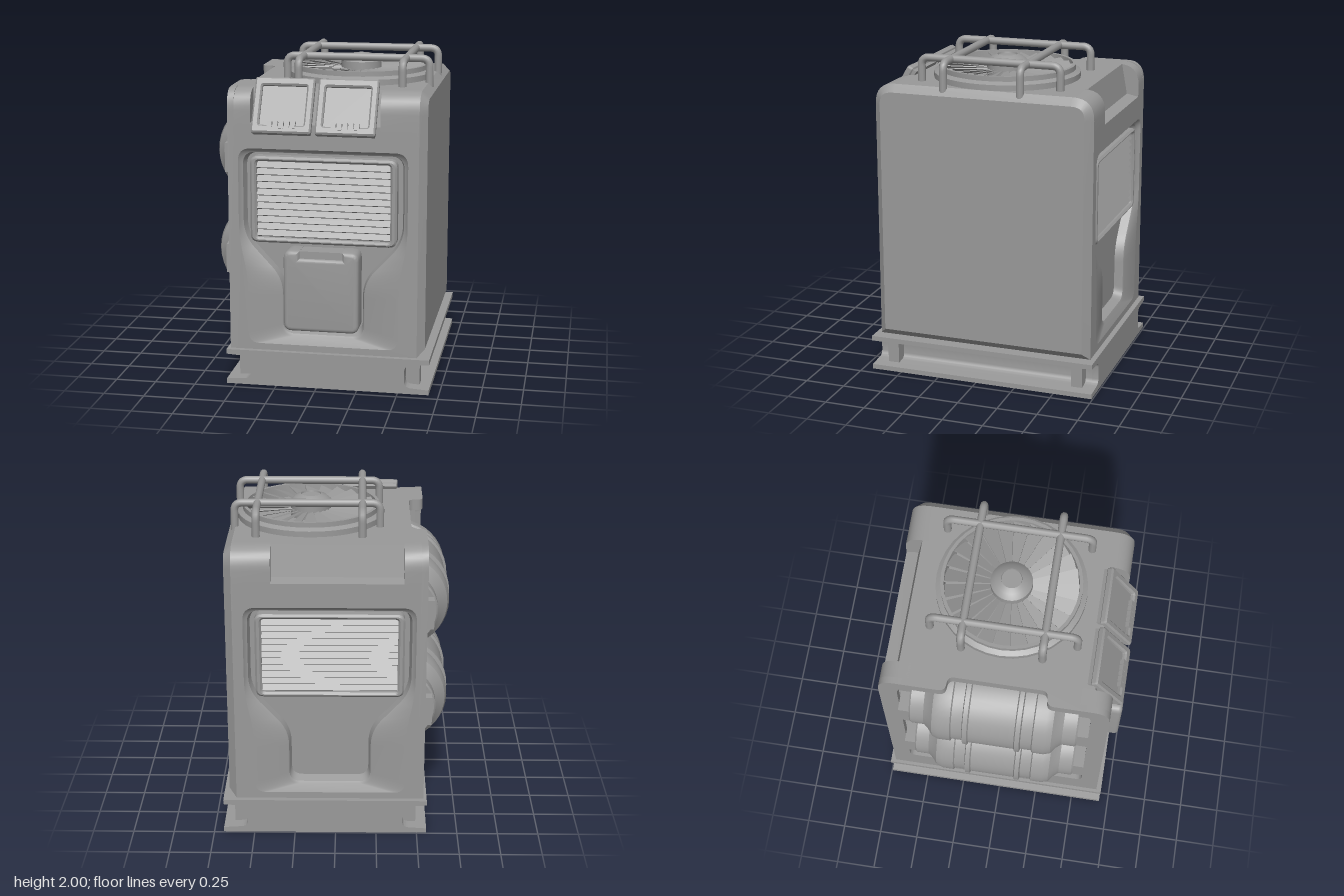
import * as THREE from 'three';
import { toCreasedNormals } from 'three/addons/utils/BufferGeometryUtils.js';

const grey = new THREE.MeshStandardMaterial({ color: 0x999999 });
const thinGrey = new THREE.MeshStandardMaterial({ color: 0x999999, side: THREE.DoubleSide });

function add(parent, name, geo, x = 0, y = 0, z = 0, material = grey) {
  const mesh = new THREE.Mesh(geo, material);
  mesh.name = name;
  mesh.position.set(x, y, z);
  parent.add(mesh);
  return mesh;
}
const box = (w, h, d) => new THREE.BoxGeometry(w, h, d);

// Polygon of [x, y, radius] corners, rounded where a radius is given
function rounded(corners, Type = THREE.Shape) {
  const path = new Type();
  const n = corners.length;
  corners.forEach(([x, y, r = 0], i) => {
    const p = new THREE.Vector2(x, y);
    const toward = ([a, b]) => {
      const v = new THREE.Vector2(a, b).sub(p);
      const len = v.length();
      return v.setLength(Math.min(r, len * 0.72)).add(p);
    };
    const a = toward(corners[(i + n - 1) % n]), b = toward(corners[(i + 1) % n]);
    if (i === 0) path.moveTo(a.x, a.y); else path.lineTo(a.x, a.y);
    if (r > 0) path.quadraticCurveTo(x, y, b.x, b.y);
  });
  path.closePath();
  return path;
}
const rect = (w, h, r, Type) => rounded(
  [[-w / 2, -h / 2, r], [w / 2, -h / 2, r], [w / 2, h / 2, r], [-w / 2, h / 2, r]], Type);

function extrude(shape, depth, bevel = 0, bevelSegments = 1) {
  const geo = new THREE.ExtrudeGeometry(shape, {
    depth, curveSegments: 8, bevelEnabled: bevel > 0, bevelSize: bevel,
    bevelThickness: bevel, bevelOffset: -bevel, bevelSegments,
  });
  return toCreasedNormals(geo, 0.5);
}
// Side profile of [z, y, radius] corners, swept along x
const sweepX = (corners, depth, bevel) =>
  extrude(rounded(corners.map(([z, y, r]) => [-z, y, r])), depth, bevel).rotateY(Math.PI / 2);

// Wide-top, narrow-bottom outline of the face recess
function recessOutline(cx, wTop, wLow, top, low, Type) {
  const right = [[wLow, low, 0.07], [wLow, 0.67, 0.1], [wTop, 0.93, 0.1], [wTop, top, 0.08]];
  const left = right.map(([x, y, r]) => [-x, y, r]).reverse();
  return rounded([...right, ...left].map(([x, y, r]) => [x + cx, y, r]), Type);
}

// Skin joining outlines of equal point count, outermost first
function loft(loops) {
  const pos = [];
  for (let k = 0; k + 1 < loops.length; k++) {
    const [a, b] = [loops[k], loops[k + 1]], n = a.length;
    for (let i = 0; i < n; i++) {
      const j = (i + 1) % n;
      for (const v of [a[i], a[j], b[i], a[j], b[j], b[i]]) pos.push(...v);
    }
  }
  const geo = new THREE.BufferGeometry();
  geo.setAttribute('position', new THREE.Float32BufferAttribute(pos, 3));
  geo.computeVertexNormals();
  return toCreasedNormals(geo, 0.6);
}

const D = 0.685; // half depth of the body

// One end face of the body: s = 1 front, s = -1 back
function endFace(s) {
  const g = new THREE.Group();
  g.name = s > 0 ? 'frontFace' : 'backFace';
  if (s < 0) g.rotation.y = Math.PI;
  const cx = 0.035 * s;
  const specs = [[0.512, 0.46, 1.475, 0.26, 0], [0.498, 0.258, 1.46, 0.312, -0.02],
    [0.488, 0.248, 1.45, 0.325, -0.026], [0.475, 0.235, 1.44, 0.345, -0.08]];
  const panel = rounded([[-0.5, 0.22], [0.61, 0.22], [0.61, 1.6], [-0.5, 1.6]].map(([x, y]) => [x * s, y]));
  panel.holes.push(recessOutline(cx, ...specs[0].slice(0, 4), THREE.Path));
  add(g, 'facePanel', extrude(panel, 0.05), 0, 0, D - 0.05);
  const loops = specs.map(([a, b, c, d, z]) => {
    const pts = recessOutline(cx, a, b, c, d).getPoints(8);
    if (pts[0].distanceTo(pts[pts.length - 1]) < 1e-6) pts.pop();
    return pts.map(p => [p.x, p.y, D + z]);
  });
  add(g, 'recessWall', loft(loops), 0, 0, 0, thinGrey);
  add(g, 'recessFloor', extrude(recessOutline(cx, ...specs[3].slice(0, 4)), 0.02), 0, 0, D - 0.1);

  // Louvred vent
  const frame = rect(0.89, 0.53, 0.05);
  frame.holes.push(rect(0.81, 0.47, 0.02, THREE.Path));
  add(g, 'ventFrame', extrude(frame, 0.055, 0.012), cx, 1.16, D - 0.08);
  for (let i = 0; i < 11; i++) {
    add(g, 'ventSlat', box(0.82, 0.042, 0.012), cx, 0.95 + i * 0.042, D - 0.045).rotation.x = -0.6;
  }

  // Rounded shoulder with a stepped pocket in its middle
  const full = [[0.5, 1.6], [D, 1.6], [D, 1.83, 0.13], [0.5, 1.83]];
  const cut = [[0.5, 1.6], [D, 1.6], [D, 1.625], [0.61, 1.64], [0.575, 1.83], [0.5, 1.83]];
  for (const [x0, x1, profile] of [[-0.5, -0.4, full], [-0.4, 0.38, cut], [0.38, 0.61, full]]) {
    add(g, 'shoulder', sweepX(profile, x1 - x0), s > 0 ? x0 : -x1);
  }
  return g;
}

// Gas tank lying along z
function tankGeometry() {
  const half = [[0, 0.5], [0.225, 0.51], [0.235, 0.5], [0.235, 0.42], [0.26, 0.39], [0.297, 0.36], [0.31, 0.32],
    [0.31, 0.25], [0.297, 0.243], [0.297, 0.178], [0.318, 0.172], [0.318, 0.145], [0.304, 0.138]];
  const profile = [...half.map(([r, t]) => [r, -t]), ...half.slice().reverse()];
  const geo = new THREE.LatheGeometry(profile.map(p => new THREE.Vector2(...p)), 40);
  return toCreasedNormals(geo.rotateX(Math.PI / 2), 0.5);
}

// Bent guard bar running from u0 to u1 along its own x
function guardBar(u0, u1) {
  const V = (u, y) => new THREE.Vector3(u, y, 0);
  const top = 1.976, r = 0.05, path = new THREE.CurvePath();
  path.add(new THREE.LineCurve3(V(u0, 1.8), V(u0, top - r)));
  path.add(new THREE.QuadraticBezierCurve3(V(u0, top - r), V(u0, top), V(u0 + r, top)));
  path.add(new THREE.LineCurve3(V(u0 + r, top), V(u1 - r, top)));
  path.add(new THREE.QuadraticBezierCurve3(V(u1 - r, top), V(u1, top), V(u1, top - r)));
  path.add(new THREE.LineCurve3(V(u1, top - r), V(u1, 1.8)));
  return new THREE.TubeGeometry(path, 90, 0.024, 10);
}

function roofFan() {
  const g = new THREE.Group();
  g.name = 'roofFan';
  const lathe = pts => toCreasedNormals(new THREE.LatheGeometry(pts.map(p => new THREE.Vector2(...p)), 36), 0.5);
  add(g, 'fanRing', lathe([[0.45, 1.82], [0.45, 1.865], [0.42, 1.88], [0.42, 1.91], [0.4, 1.91], [0.395, 1.83]]));
  add(g, 'fanHub', lathe([[0.125, 1.83], [0.125, 1.925], [0.095, 1.952], [0.062, 1.965], [0.06, 1.955], [0, 1.955]]));
  const blade = box(0.29, 0.006, 0.112).translate(0.255, 0, 0);
  const p = blade.attributes.position;
  for (let i = 0; i < p.count; i++) p.setZ(i, p.getZ(i) * p.getX(i) / 0.4);
  blade.rotateX(0.38);
  for (let i = 0; i < 24; i++) add(g, 'fanBlade', blade, 0, 1.875, 0).rotation.y = i * Math.PI / 12;
  g.position.x = 0.16;
  return g;
}

// Tilted screen with a raised rim, a row of keys and a mount behind
function screen(x) {
  const g = new THREE.Group();
  g.name = 'screen';
  const frame = rect(0.36, 0.35, 0.015);
  frame.holes.push(rect(0.27, 0.25, 0.01, THREE.Path));
  add(g, 'screenFrame', extrude(frame, 0.025, 0.01), 0, 0, -0.005);
  add(g, 'screenBack', box(0.345, 0.335, 0.04), 0, 0, -0.015);
  add(g, 'screenMount', box(0.2, 0.16, 0.06), 0, -0.02, -0.05);
  for (let i = 0; i < 5; i++) add(g, 'screenKey', box(0.03, 0.045, 0.025), -0.07 + i * 0.035, -0.125, 0.02);
  g.position.set(x, 1.725, 0.615);
  g.rotation.x = -Math.PI / 6;
  return g;
}

export function createModel() {
  const model = new THREE.Group();
  const body = new THREE.Group();
  body.name = 'body';
  body.position.z = -0.025;
  model.add(body);

  // Shell
  body.add(endFace(1), endFace(-1));
  add(body, 'sidePanel', sweepX([[-D, 0.22], [D, 0.22], [D, 1.83, 0.13], [-D, 1.83, 0.13]], 0.01, 0.045), 0.6);
  add(body, 'tankSideFrame', sweepX([[-D, 0.22], [D, 0.22], [D, 1.83, 0.13], [0.54, 1.83], [0.54, 1.77],
    [0.575, 1.7, 0.04], [0.575, 0.4, 0.05], [-0.575, 0.4, 0.05], [-0.575, 1.7, 0.04], [-0.54, 1.77],
    [-0.54, 1.83], [-D, 1.83, 0.13]], 0.04), -0.54);
  const roof = rounded([[-0.54, -0.54], [0.61, -0.54], [0.61, 0.54], [-0.54, 0.54], [-0.54, 0.28, 0.045],
    [-0.45, 0.28, 0.04], [-0.45, -0.31, 0.04], [-0.54, -0.31, 0.045]]);
  add(body, 'roof', extrude(roof, 0.07).rotateX(-Math.PI / 2), 0, 1.76);

  // Tank compartment, tanks and end brackets
  add(body, 'compartmentFloor', box(0.48, 0.03, 1.16), -0.27, 0.385);
  add(body, 'compartmentWall', box(0.03, 1.39, 1.16), -0.035, 1.08);
  const tank = tankGeometry();
  for (const y of [0.76, 1.39]) {
    add(body, 'tank', tank, -0.375, y);
    for (const s of [-1, 1]) add(body, 'tankBracket', box(0.2, 0.18, 0.07), -0.485, y, s * 0.54);
  }

  // Roof fan and its guard
  body.add(roofFan());
  for (const z of [-0.235, 0.245]) add(body, 'guardBar', guardBar(-0.262, 0.615), 0, 0, z);
  for (const x of [-0.155, 0.475]) add(body, 'guardBar', guardBar(-0.437, 0.437), x).rotation.y = Math.PI / 2;

  // Front equipment
  model.add(screen(-0.205), screen(0.178));
  const boxShape = rounded([[-0.228, -0.25, 0.05], [0.228, -0.25, 0.05], [0.228, 0.25, 0.05], [0.128, 0.25],
    [0.128, 0.205], [-0.128, 0.205], [-0.128, 0.25], [-0.228, 0.25, 0.05]]);
  add(model, 'frontBox', extrude(boxShape, 0.11, 0.025, 4), 0.038, 0.625, 0.61);
  add(model, 'boxLatch', box(0.27, 0.07, 0.115), 0.038, 0.838, 0.67);

  // Base: end plates, outward channel rails and stubs
  const cx = 0.065, z0 = -0.743, length = 1.435;
  const notch = [[0.625, 0], [0.625, 0.03], [0.475, 0.04, 0.04], [0.475, 0.18, 0.04], [0.625, 0.19], [0.625, 0.22]];
  const plate = extrude(rounded([...notch, ...notch.map(([x, y, r]) => [-x, y, r]).reverse()]), 0.04);
  for (const z of [z0, z0 + length - 0.04]) add(model, 'baseEndPlate', plate, cx, 0, z);
  for (const s of [-1, 1]) {
    const rail = rounded([...notch, [0.45, 0.22], [0.45, 0]].map(([x, y, r]) => [x * s, y, r]));
    add(model, 'baseRail', extrude(rail, length - 0.08), cx, 0, z0 + 0.04);
    for (const z of [0.575, -0.628]) add(model, 'baseStub', box(0.1, 0.15, 0.07), cx + s * 0.51, 0.11, z);
  }
  return model;
}
